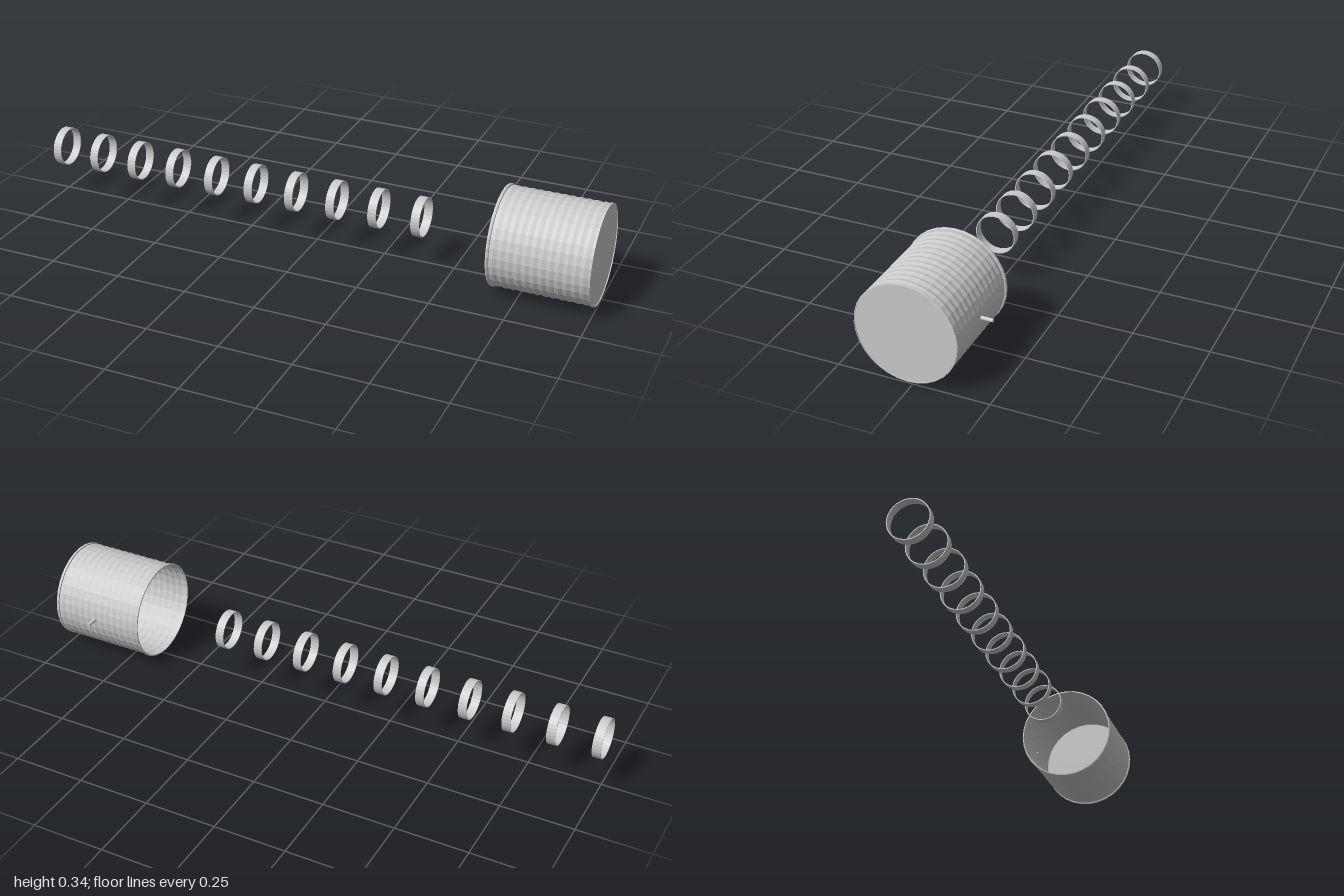
import * as THREE from 'three';

const metal = new THREE.MeshStandardMaterial({ color: 0xcccccc, flatShading: true, side: THREE.DoubleSide });

// Surface of revolution around the x axis; profile points are [radius, x]
function turned(name, profile, sides) {
  const points = profile.map(([r, x]) => new THREE.Vector2(r, x));
  const geometry = new THREE.LatheGeometry(points, sides);
  geometry.rotateZ(-Math.PI / 2);
  const mesh = new THREE.Mesh(geometry, metal);
  mesh.name = name;
  return mesh;
}

export function createModel() {
  const model = new THREE.Group();
  model.name = 'canAndRings';

  // Can: thin corrugated wall, open at -x and closed at +x
  const can = new THREE.Group();
  can.name = 'can';
  can.position.set(0, 0.171, 0.018);
  model.add(can);

  const wall = [];
  const ribs = 12, start = 0.67, end = 0.99;
  for (let i = 0; i <= ribs * 4; i++) {
    const t = i / (ribs * 4);
    const r = 0.1665 - 0.0015 * Math.cos(t * ribs * Math.PI * 2);
    wall.push([r, start + (end - start) * t]);
  }
  can.add(turned('canWall', wall, 32));

  // Rolled lip of the open end
  can.add(turned('openRim', [
    [0.165, 0.67], [0.169, 0.669], [0.171, 0.665], [0.17, 0.66], [0.166, 0.659], [0.165, 0.663], [0.165, 0.67],
  ], 32));

  // Closed end with a small raised edge
  can.add(turned('closedEnd', [
    [0.165, 0.99], [0.169, 0.991], [0.169, 0.999], [0.166, 1], [0.166, 0.997], [0, 0.997],
  ], 32));

  // Short peg on the back of the can
  const peg = new THREE.Mesh(new THREE.CylinderGeometry(0.006, 0.006, 0.045, 16), metal);
  peg.name = 'peg';
  peg.rotation.x = Math.PI / 2;
  peg.position.set(0.838, 0.173, -0.1655);
  model.add(peg);

  // Row of loose rings
  const rings = new THREE.Group();
  rings.name = 'rings';
  rings.position.set(0, 0.175, 0.012);
  model.add(rings);
  for (let i = 0; i < 10; i++) {
    const ring = turned('ring', [
      [0.068, -0.015], [0.068, 0.015], [0.065, 0.015], [0.065, -0.015], [0.068, -0.015],
    ], 32);
    ring.position.x = -0.985 + i * 0.152;
    rings.add(ring);
  }

  return model;
}
